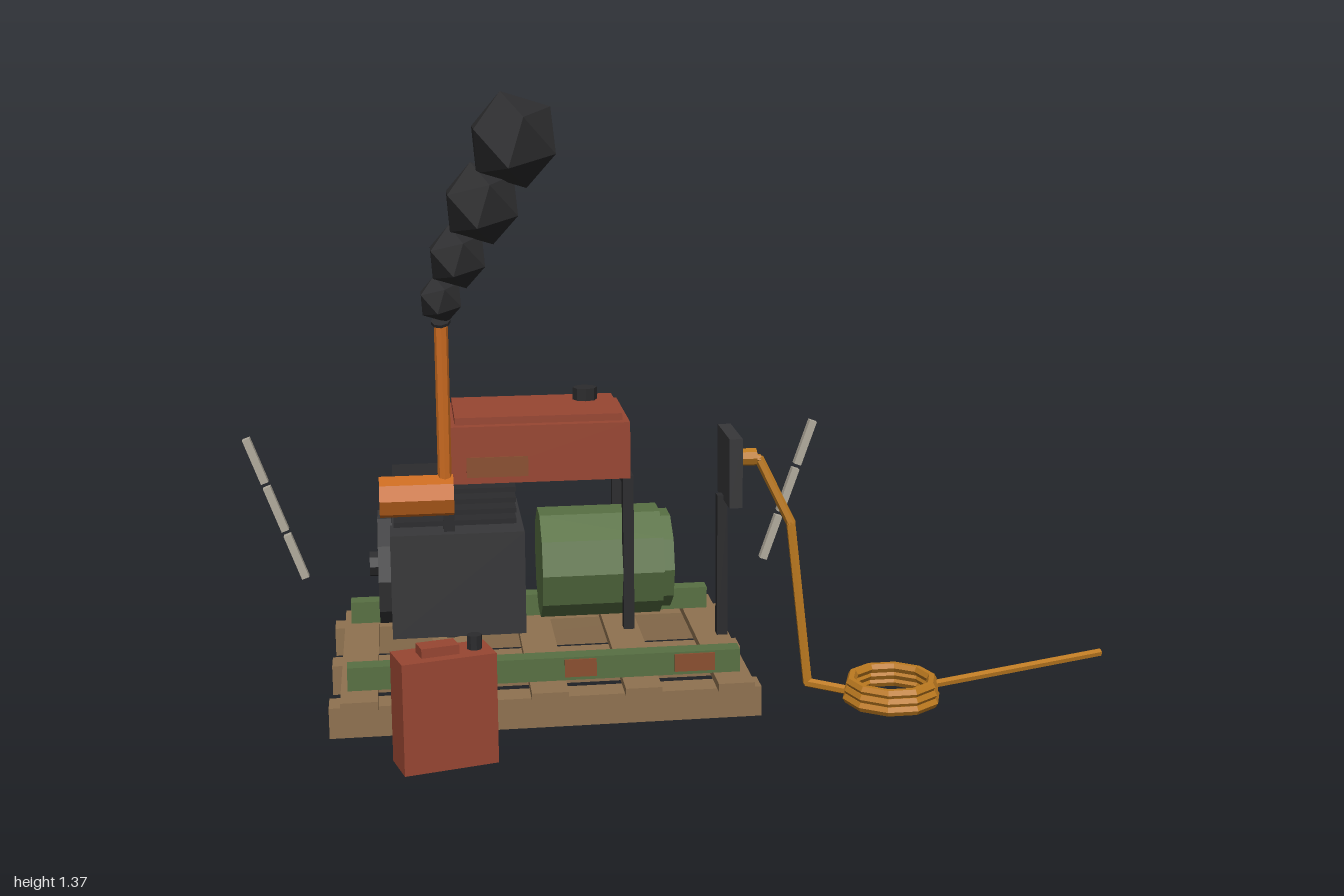
import * as THREE from 'three';

const mat = (name, color) => {
  const m = new THREE.MeshStandardMaterial({ color, flatShading: true });
  m.name = name;
  return m;
};

export function createModel() {
  const wood = mat('wood', 0x8f7250), green = mat('green paint', 0x587043), red = mat('red paint', 0x984632);
  const iron = mat('dark iron', 0x373739), black = mat('black', 0x2b2b2d), orange = mat('rusty orange', 0xc96a20);
  const cableMat = mat('cable', 0xbd7a20), grey = mat('light grey', 0xb0aa9c), blue = mat('blue', 0x3f6a98);
  const rust = mat('rust', 0x8a4f30);
  const model = new THREE.Group();

  const add = (name, geo, m, x, y, z, parent = model) => {
    const mesh = new THREE.Mesh(geo, m);
    mesh.name = name;
    mesh.position.set(x, y, z);
    parent.add(mesh);
    return mesh;
  };
  const box = (name, m, w, h, d, x, y, z, parent) => add(name, new THREE.BoxGeometry(w, h, d), m, x, y, z, parent);
  const cyl = (name, m, r, h, sides, x, y, z, parent) => add(name, new THREE.CylinderGeometry(r, r, h, sides), m, x, y, z, parent);
  // cylinder lying along x
  const cylX = (name, m, r, len, sides, x, y, z) => {
    const c = cyl(name, m, r, len, sides, x, y, z);
    c.rotation.z = -Math.PI / 2;
    return c;
  };
  // straight rod between two points
  const rod = (name, m, a, b, r, sides = 6) => {
    const A = new THREE.Vector3(...a), B = new THREE.Vector3(...b), d = B.clone().sub(A);
    const mid = A.clone().add(B).multiplyScalar(0.5);
    const c = cyl(name, m, r, d.length() + r * 0.5, sides, mid.x, mid.y, mid.z);
    c.quaternion.setFromUnitVectors(new THREE.Vector3(0, 1, 0), d.normalize());
    return c;
  };

  // pallet
  for (const z of [0.165, -0.109, -0.383]) box('palletRunner', wood, 0.94, 0.068, 0.064, -0.35, 0.034, z);
  for (let i = 0; i < 5; i++) box('palletSlat', wood, 0.08, 0.018, 0.655, -0.755 + i * 0.204, 0.077, -0.109);

  // skid rails with rust patches
  for (const z of [0.128, -0.345]) box('skidRail', green, 0.86, 0.052, 0.043, -0.35, 0.114, z);
  box('railRust', rust, 0.07, 0.04, 0.006, -0.275, 0.116, 0.151);
  box('railRust', rust, 0.09, 0.04, 0.006, -0.022, 0.116, 0.151);

  // engine block, flywheel, cooling fins, side door
  box('engineBlock', iron, 0.295, 0.235, 0.3, -0.533, 0.2825, -0.108);
  cylX('flywheel', iron, 0.128, 0.032, 10, -0.692, 0.29, -0.108);
  cylX('flywheelHub', black, 0.029, 0.022, 8, -0.717, 0.297, -0.108);
  for (let i = 0; i < 4; i++) box('coolingFin', black, 0.27, 0.011, 0.255, -0.537, 0.419 + i * 0.024, -0.108);
  box('sideDoor', orange, 0.18, 0.1, 0.009, -0.57, 0.285, -0.261);

  // alternator with vent slats
  cylX('alternator', green, 0.126, 0.275, 10, -0.2075, 0.285, -0.108);
  cylX('alternatorCap', green, 0.113, 0.025, 10, -0.0575, 0.285, -0.108);
  for (let i = -2; i <= 2; i++) box('vent', black, 0.008, 0.115, 0.012, -0.043, 0.283, -0.108 + i * 0.025);

  // tank frame
  for (const x of [-0.55, -0.152]) {
    for (const z of [0.006, -0.218]) box('frameLeg', black, 0.024, 0.355, 0.026, x, 0.333, z);
    box('frameCrossbar', black, 0.024, 0.02, 0.25, x, 0.502, -0.106);
  }
  box('frameBracket', rust, 0.06, 0.035, 0.025, -0.185, 0.207, -0.238);

  // fuel tank
  box('fuelTank', red, 0.4, 0.128, 0.274, -0.348, 0.573, -0.107);
  box('tankLid', red, 0.37, 0.016, 0.23, -0.348, 0.645, -0.107);
  cyl('tankCap', black, 0.028, 0.03, 8, -0.23, 0.666, -0.162);
  box('tankRust', rust, 0.135, 0.045, 0.004, -0.442, 0.546, 0.031);

  // muffler, exhaust stack, rain flap
  cylX('muffler', orange, 0.046, 0.16, 8, -0.62, 0.493, 0.055);
  cyl('exhaustStack', orange, 0.015, 0.38, 8, -0.558, 0.675, 0.057);
  const flap = cyl('rainFlap', black, 0.021, 0.007, 8, -0.558, 0.876, 0.057);
  flap.rotation.set(0.4, 0, 0.1);

  // smoke puffs
  [[-0.557, 0.925, 0.057, 0.052], [-0.52, 1.017, 0.072, 0.07], [-0.467, 1.132, 0.094, 0.09], [-0.4, 1.266, 0.119, 0.104]]
    .forEach(([x, y, z, r]) => {
      const puff = add('smokePuff', new THREE.IcosahedronGeometry(r, 0), black, x, y, z);
      puff.rotation.z = -0.3;
    });

  // control panel
  box('panelPost', black, 0.024, 0.33, 0.026, 0.067, 0.285, -0.028);
  box('controlPanel', iron, 0.03, 0.158, 0.162, 0.084, 0.519, -0.016);
  cylX('gauge', blue, 0.022, 0.008, 10, 0.102, 0.545, -0.067);
  cylX('dial', grey, 0.02, 0.014, 8, 0.105, 0.472, -0.028);
  cylX('plug', cableMat, 0.02, 0.04, 8, 0.118, 0.545, 0.015);

  // power cable and coil
  const path = [[0.12, 0.545, 0.015], [0.145, 0.54, 0.017], [0.214, 0.395, 0.04], [0.252, 0.022, 0.062], [0.345, 0.016, 0.118]];
  for (let i = 1; i < path.length; i++) rod('cable', cableMat, path[i - 1], path[i], 0.011);
  [[0.1, 0.016], [0.097, 0.034], [0.093, 0.052]].forEach(([r, y]) => {
    const ring = add('cableCoil', new THREE.TorusGeometry(r, 0.012, 6, 10), cableMat, 0.424, y, 0.16);
    ring.rotation.x = Math.PI / 2;
  });
  rod('cableTail', cableMat, [0.515, 0.02, 0.118], [0.993, 0.013, -0.063], 0.01);

  // dashed vibration marks on both ends
  const dashes = (x0, x1) => {
    const dx = x1 - x0, dy = -0.335;
    for (let i = 0; i < 3; i++) {
      const t = (i + 0.5) / 3;
      const d = box('vibrationMark', grey, 0.017, 0.108, 0.02, x0 + dx * t, 0.602 + dy * t, -0.108);
      d.rotation.z = Math.atan2(dx, -dy);
    }
  };
  dashes(-0.992, -0.87);
  dashes(0.295, 0.176);

  // jerrycan standing beside the pallet
  const can = new THREE.Group();
  can.name = 'jerrycan';
  can.position.set(-0.577, 0, 0.361);
  can.rotation.y = 0.25;
  model.add(can);
  box('canBody', red, 0.2, 0.238, 0.095, 0, 0.119, 0, can);
  box('canHandle', red, 0.08, 0.02, 0.045, -0.012, 0.248, 0, can);
  cyl('canCap', black, 0.016, 0.032, 8, 0.067, 0.252, 0, can);

  return model;
}
